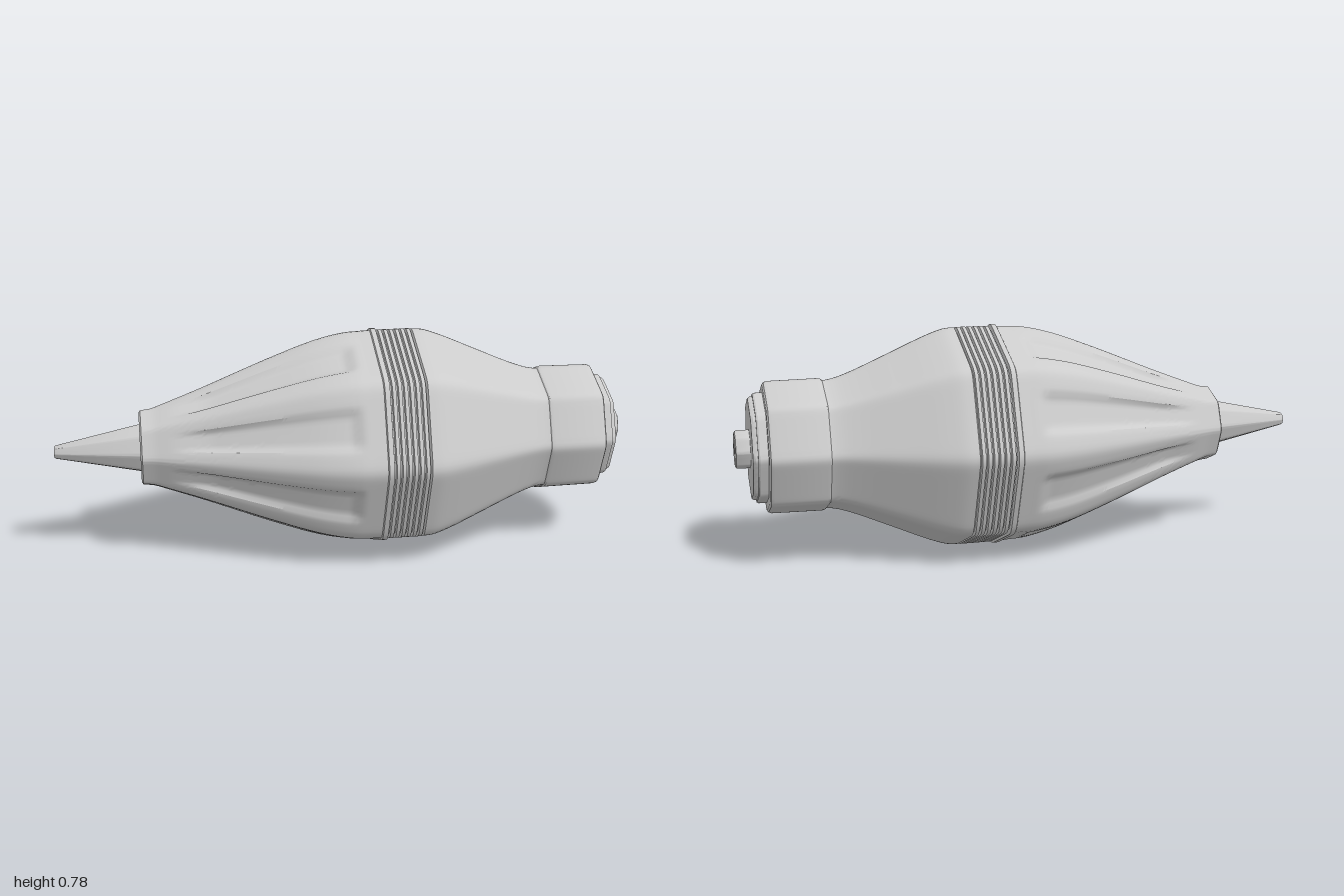
import * as THREE from 'three';
import { toCreasedNormals } from 'three/addons/utils/BufferGeometryUtils.js';

const CY = 0.393; // height of the long axis
const SEG = 160;
const FACE = Math.PI / 4;

// Octagon with softly rounded corners (corner radius 1), corners up, down and sideways
function octagon(angle) {
  let sum = 0;
  for (let k = 0; k < 8; k++) {
    const c = Math.cos(angle - (k + 0.5) * FACE);
    if (c > 0) sum += c ** 44;
  }
  return (1 / 1.0656) * sum ** (-1 / 44);
}

// Skin octagonal rings along x; profile is a list of [x, cornerRadius]
function loft(profile, dent = () => 0, crease = 0.5) {
  const pos = [], index = [];
  for (const [x, r] of profile) {
    for (let j = 0; j < SEG; j++) {
      const a = (j / SEG) * Math.PI * 2;
      const q = r * octagon(a) - dent(x, a);
      pos.push(x, CY + q * Math.cos(a), q * Math.sin(a));
    }
  }
  for (let i = 0; i < profile.length - 1; i++) {
    for (let j = 0; j < SEG; j++) {
      const a = i * SEG + j, b = i * SEG + ((j + 1) % SEG);
      index.push(a, b, a + SEG, b, b + SEG, a + SEG);
    }
  }
  const g = new THREE.BufferGeometry();
  g.setAttribute('position', new THREE.Float32BufferAttribute(pos, 3));
  g.setIndex(index);
  return toCreasedNormals(g, crease);
}

// Smooth curve through [x, radius] points
function smooth(points, n) {
  const curve = new THREE.CatmullRomCurve3(points.map(([x, r]) => new THREE.Vector3(x, r, 0)));
  return curve.getSpacedPoints(n).map((p) => [p.x, p.y]);
}

// Sunken flute in the middle of each flat, fading out towards the nose
function flute(x, angle) {
  const s = THREE.MathUtils.smoothstep;
  const d = Math.abs((angle % FACE) - FACE / 2);
  const across = 1 - s(d, 0.13, 0.215);
  const along = s(x, -0.62, -0.45) * (1 - s(x, -0.02, 0.035));
  return 0.017 * across * along;
}

export function createModel() {
  const group = new THREE.Group();
  const material = new THREE.MeshStandardMaterial({ color: 0xcccccc });
  const add = (name, geometry) => {
    const mesh = new THREE.Mesh(geometry, material);
    mesh.name = name;
    group.add(mesh);
  };

  // Tapered nose with open tip
  add('noseCone', loft([[-1, 0.016], [-1, 0.02], [-0.994, 0.024], [-0.7, 0.087]]));

  // Fluted front sleeve
  const sleeve = smooth([
    [-0.65, 0.145], [-0.5, 0.202], [-0.25, 0.303], [-0.1, 0.357],
    [0, 0.38], [0.06, 0.384], [0.095, 0.386],
  ], 70);
  add('frontSleeve', loft([
    [-0.708, 0.08], [-0.708, 0.127], [-0.702, 0.135], [-0.67, 0.139],
    ...sleeve, [0.098, 0.392], [0.115, 0.392], [0.118, 0.376],
  ], flute));

  // Ribbed grip band
  const ribs = [];
  for (let i = 0; i < 6; i++) {
    const x = 0.118 + i * 0.02;
    ribs.push([x, 0.374], [x + 0.004, 0.374], [x + 0.006, 0.387], [x + 0.018, 0.387], [x + 0.02, 0.374]);
  }
  add('ribbedBand', loft(ribs));

  // Rear body sweeping down to the neck
  const body = smooth([
    [0.244, 0.386], [0.28, 0.383], [0.34, 0.363], [0.48, 0.302],
    [0.6, 0.25], [0.66, 0.229], [0.69, 0.223],
  ], 40);
  add('rearBody', loft([[0.238, 0.374], ...body, [0.702, 0.223]]));

  // Collar with bevelled edges
  add('rearCollar', loft([
    [0.698, 0.22], [0.704, 0.227], [0.715, 0.23], [0.885, 0.228],
    [0.896, 0.224], [0.901, 0.216], [0.901, 0.18],
  ]));

  // Stepped end cap
  add('endCap', loft([
    [0.9, 0.19], [0.928, 0.19], [0.934, 0.186], [0.934, 0.179],
    [0.942, 0.178], [0.95, 0.172], [0.95, 0.05],
  ]));

  // Small end nub with open bore
  add('endNub', loft([
    [0.948, 0.066], [0.99, 0.066], [0.997, 0.063], [1, 0.057], [1, 0.021],
  ]));

  // Inner wall of the bore running the full length
  add('bore', loft([[1, 0.021], [-1, 0.016]]));

  return group;
}
